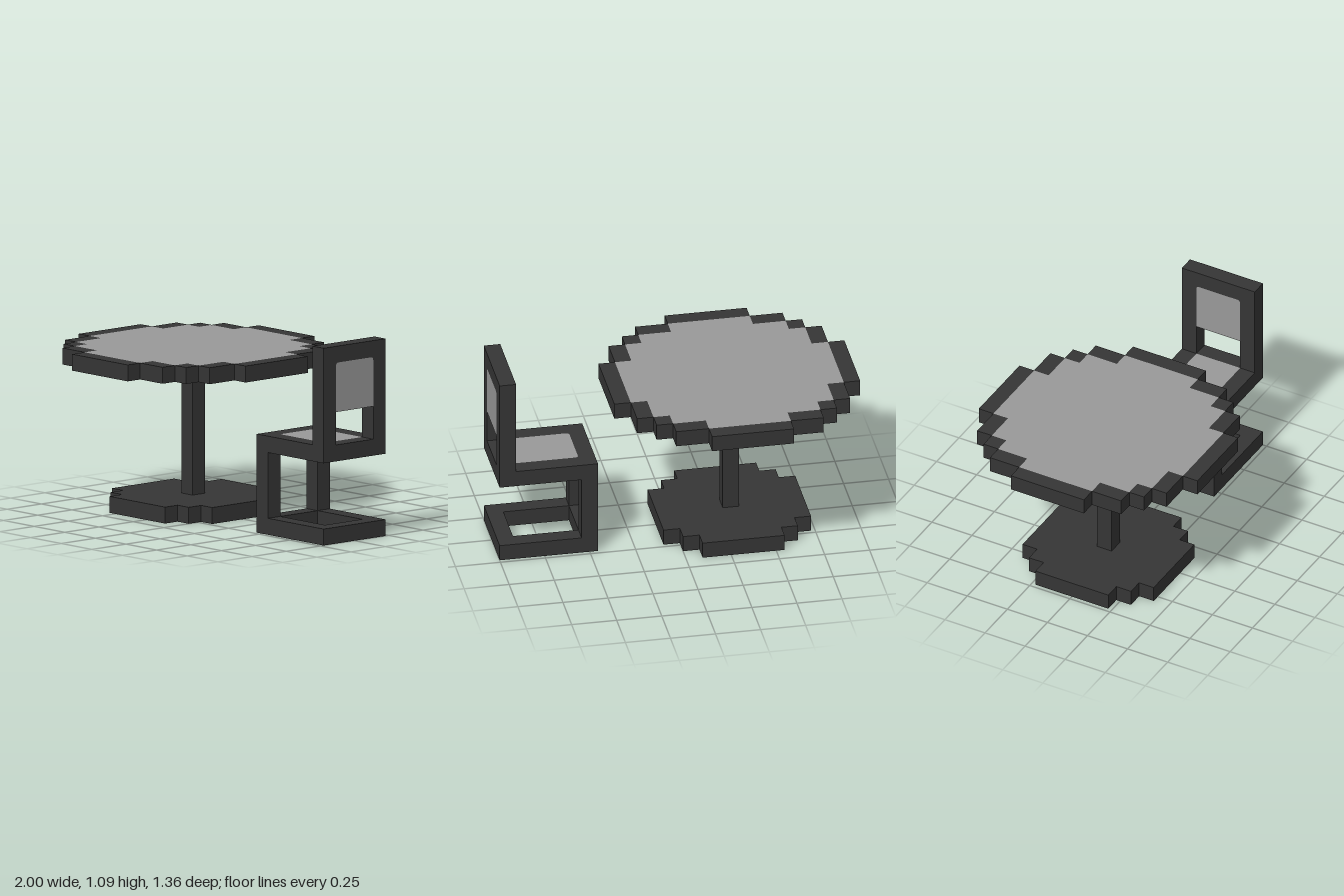
import * as THREE from 'three';

// Everything is laid out on a block grid; eleven blocks make one unit.
const BLOCK = 1 / 11;
const TABLE_X = -3.5;

const frameMat = new THREE.MeshStandardMaterial({ color: 0x353535 });
frameMat.name = 'dark frame';
const panelMat = new THREE.MeshStandardMaterial({ color: 0x999999 });
panelMat.name = 'grey panel';

const vectors = (pts) => pts.map(([x, y]) => new THREE.Vector2(x, y));

function extrude(outline, hole, depth) {
  const shape = new THREE.Shape(vectors(outline));
  if (hole) shape.holes.push(new THREE.Path(vectors(hole)));
  return new THREE.ExtrudeGeometry(shape, { depth, bevelEnabled: false });
}

// Slab lying flat, one block thick, with its underside at y
function slab(name, mat, outline, hole, x, y) {
  const mesh = new THREE.Mesh(extrude(outline, hole, 1).rotateX(-Math.PI / 2), mat);
  mesh.name = name;
  mesh.position.set(x, y, 0);
  return mesh;
}

// Upright slab facing sideways; outline is given as [z, y]
function upright(name, mat, outline, x) {
  const mesh = new THREE.Mesh(extrude(outline, null, 1).rotateY(Math.PI / 2), mat);
  mesh.name = name;
  mesh.position.x = x;
  return mesh;
}

function box(name, x0, x1, y0, y1, z0, z1) {
  const mesh = new THREE.Mesh(new THREE.BoxGeometry(x1 - x0, y1 - y0, z1 - z0), frameMat);
  mesh.name = name;
  mesh.position.set((x0 + x1) / 2, (y0 + y1) / 2, (z0 + z1) / 2);
  return mesh;
}

const rect = (x0, x1, y0, y1) => [[x0, y0], [x1, y0], [x1, y1], [x0, y1]];

// Blocky disc: each step is [half width, half length], mirrored to four quarters
function steppedDisc(steps) {
  const quarter = [];
  steps.forEach(([x, y], i) => {
    quarter.push([x, i ? steps[i - 1][1] : 0], [x, y]);
  });
  quarter.shift();
  const flipped = [...quarter].reverse();
  return [
    ...quarter,
    ...flipped.map(([x, y]) => [-x, y]),
    ...quarter.map(([x, y]) => [-x, -y]),
    ...flipped.map(([x, y]) => [x, -y]),
  ];
}

// Tongue from a0 (square end) to a1 (slightly rounded end), half width w
function tongue(a0, a1, w, r = 0.18) {
  const s = Math.sign(a1 - a0);
  const pts = [[a0, -w]];
  for (const side of [-1, 1]) {
    for (let i = 0; i <= 4; i++) {
      const t = ((side < 0 ? i : 4 - i) / 4) * Math.PI / 2;
      pts.push([a1 - s * r * (1 - Math.sin(t)), side * (w - r + r * Math.cos(t))]);
    }
  }
  pts.push([a0, w]);
  return pts;
}

const swap = (pts) => pts.map(([a, b]) => [b, a]);

function createTable() {
  const table = new THREE.Group();
  table.name = 'table';
  const rim = steppedDisc([[7.5, 2.5], [6.5, 4.5], [5.5, 5.5], [4.5, 6.5], [2.5, 7.5]]);
  const inner = steppedDisc([[6.5, 2.5], [5.5, 4.5], [4.5, 5.5], [2.5, 6.5]]);
  const foot = steppedDisc([[4.5, 2.5], [3.5, 3.5], [2.5, 4.5]]);
  table.add(
    slab('tableRim', frameMat, rim, inner, TABLE_X, 9),
    slab('tableTop', panelMat, inner, null, TABLE_X, 9),
    box('tablePost', TABLE_X - 0.5, TABLE_X + 0.5, 1, 9, -0.5, 0.5),
    // The foot is open beneath the post
    slab('tableFoot', frameMat, foot, rect(-0.5, 0.5, -0.5, 0.5), TABLE_X, 0),
  );
  return table;
}

function createChair() {
  const chair = new THREE.Group();
  chair.name = 'chair';
  const outer = rect(5, 11, -2.5, 2.5);
  const seat = tongue(10, 6, 1.5);
  const backOutline = [
    [2.5, 6], [2.5, 12], [-2.5, 12], [-2.5, 6],
    ...swap(tongue(6, 11, 1.5)),
  ];
  chair.add(
    slab('chairBase', frameMat, outer, rect(6, 10, -1.5, 1.5), 0, 0),
    slab('seatFrame', frameMat, outer, seat, 0, 5),
    slab('seatPanel', panelMat, seat, null, 0, 5),
    upright('backFrame', frameMat, backOutline, 10),
    upright('backPanel', panelMat, swap(tongue(8, 11, 1.5)), 10),
    box('leftLeg', 5, 6, 1, 5, 1.5, 2.5),
    box('rightLeg', 5, 6, 1, 5, -2.5, -1.5),
  );
  return chair;
}

export function createModel() {
  const model = new THREE.Group();
  model.name = 'tableAndChair';
  model.add(createTable(), createChair());
  model.children.forEach((part) => part.scale.setScalar(BLOCK));
  return model;
}
